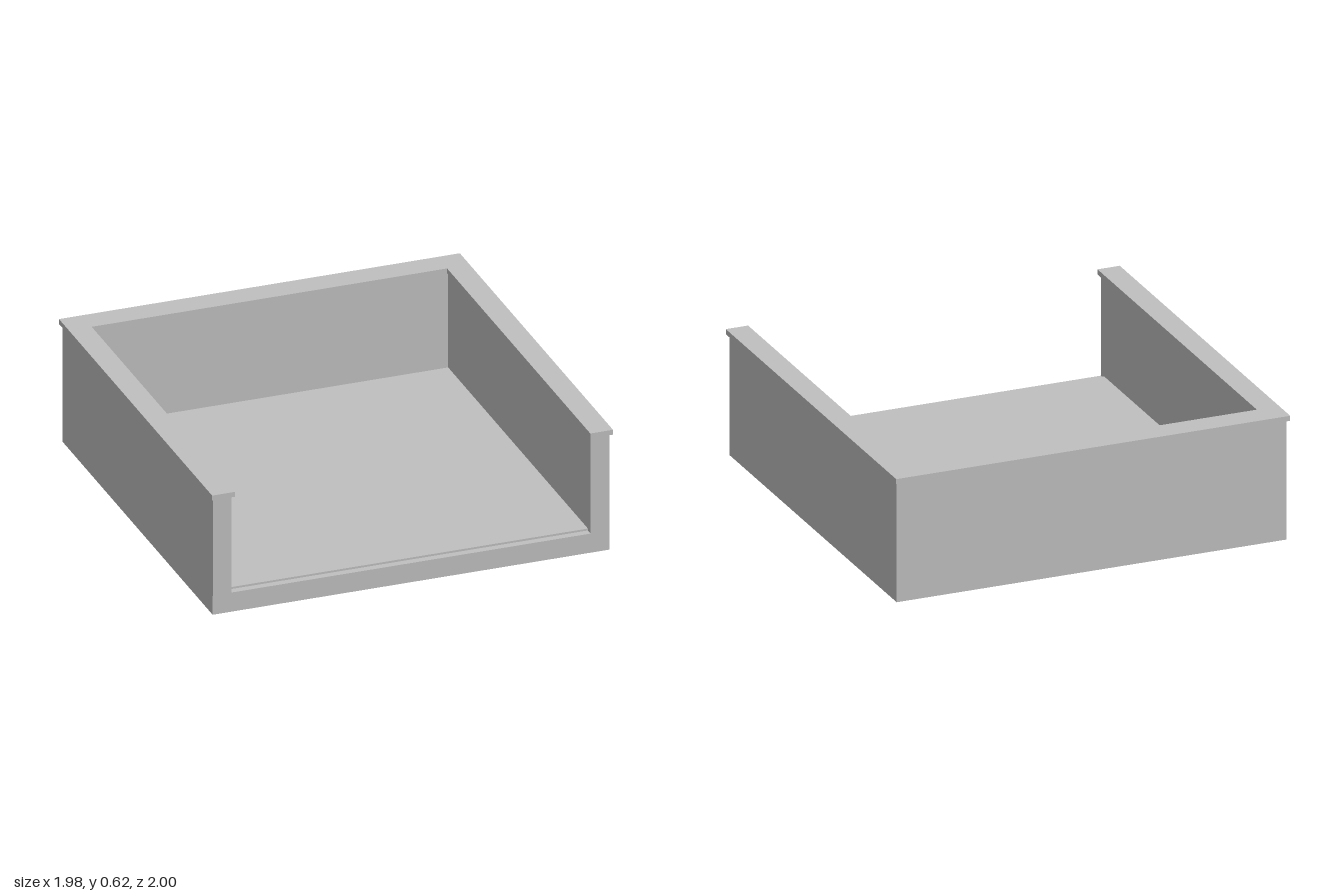
import * as THREE from 'three';

const grey = new THREE.MeshStandardMaterial({ color: 0xc0c0c0 });
grey.name = 'plain grey';

// Plan outline open to the front, extruded upwards from y0 to y1
function openFrame(name, outerX, outerZ, innerX, innerBack, y0, y1) {
  const shape = new THREE.Shape([
    [-outerX, -outerZ], [-innerX, -outerZ], [-innerX, innerBack], [innerX, innerBack],
    [innerX, -outerZ], [outerX, -outerZ], [outerX, outerZ], [-outerX, outerZ],
  ].map(([x, y]) => new THREE.Vector2(x, y)));
  const geometry = new THREE.ExtrudeGeometry(shape, { depth: y1 - y0, bevelEnabled: false });
  geometry.rotateX(-Math.PI / 2); // plan y becomes -z, depth becomes +y
  geometry.translate(0, y0, 0);
  const mesh = new THREE.Mesh(geometry, grey);
  mesh.name = name;
  return mesh;
}

function slab(name, width, y0, y1, z0, z1) {
  const mesh = new THREE.Mesh(new THREE.BoxGeometry(width, y1 - y0, z1 - z0), grey);
  mesh.name = name;
  mesh.position.set(0, (y0 + y1) / 2, (z0 + z1) / 2);
  return mesh;
}

export function createModel() {
  const group = new THREE.Group();
  group.name = 'openFrontTray';
  group.add(
    // base with a low front sill
    slab('base', 1.956, 0, 0.098, -0.982, 0.98),
    // raised floor panel, set back from the sill
    slab('floorPanel', 1.77, 0.098, 0.108, -0.88, 0.945),
    // side and back walls
    openFrame('walls', 0.978, 0.982, 0.885, 0.88, 0.098, 0.596),
    // overhanging coping along the wall tops
    openFrame('coping', 0.988, 1, 0.876, 0.87, 0.596, 0.621),
  );
  return group;
}
